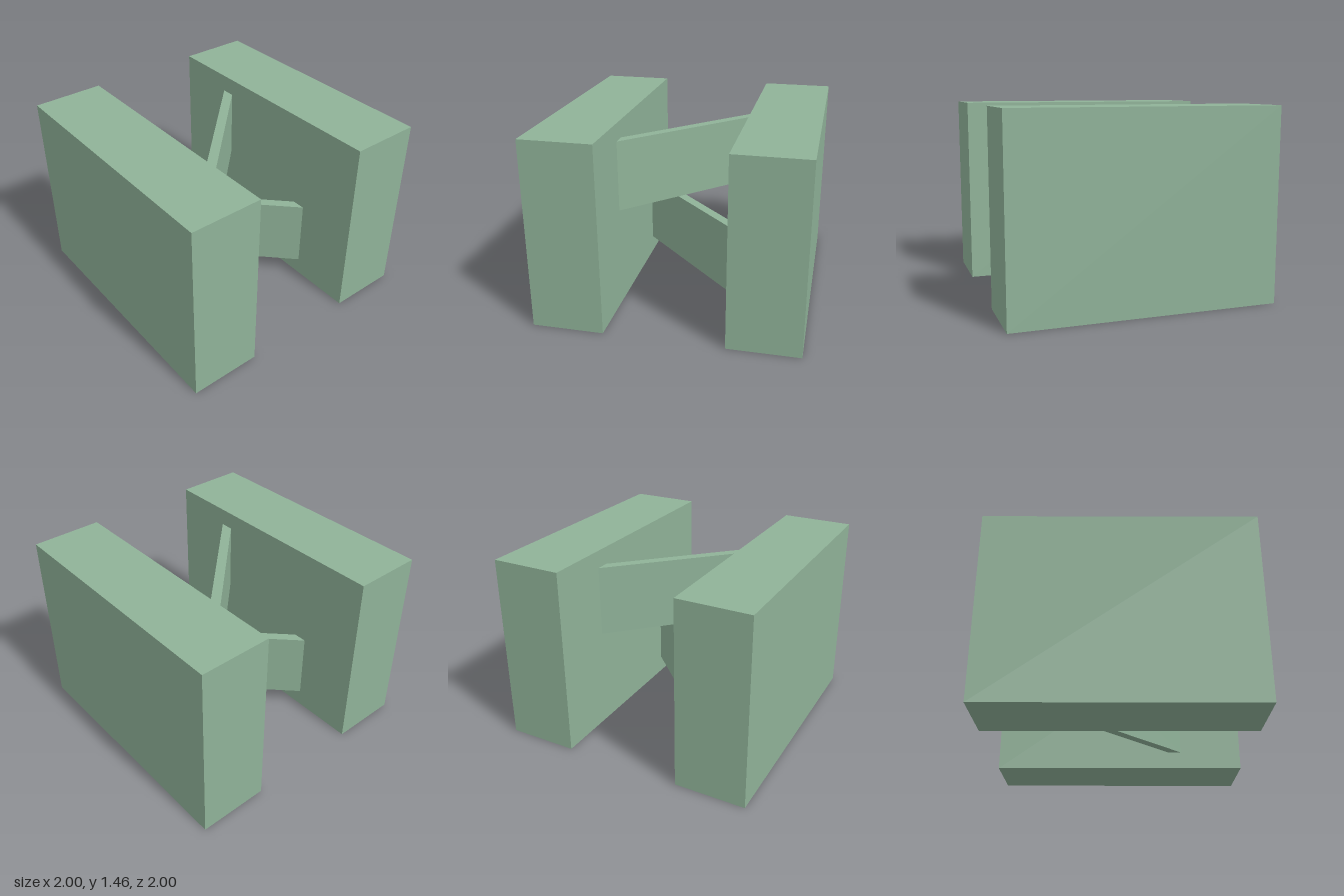
import * as THREE from 'three';

export function createModel() {
  const group = new THREE.Group();
  const material = new THREE.MeshStandardMaterial({ color: 0x8fb298 });
  const height = 1.455, inner = 0.455, depth = 1 - inner;

  // Two upright slabs facing each other
  for (const [name, side] of [['frontSlab', 1], ['backSlab', -1]]) {
    const slab = new THREE.Mesh(new THREE.BoxGeometry(2, height, depth), material);
    slab.name = name;
    slab.position.set(0, height / 2, side * (inner + depth / 2));
    group.add(slab);
  }

  // Diagonal braces, one above the other, with ends cut flush to the slabs
  const half = 0.052, braceHeight = 0.546;
  function addBrace(name, bottom, slant) {
    const e = slant * inner;
    const plan = new THREE.Shape([
      [-e - half, -inner], [-e + half, -inner], [e + half, inner], [e - half, inner],
    ].map(([x, y]) => new THREE.Vector2(x, y)));
    const geometry = new THREE.ExtrudeGeometry(plan, { depth: braceHeight, bevelEnabled: false });
    geometry.rotateX(-Math.PI / 2);
    const brace = new THREE.Mesh(geometry, material);
    brace.name = name;
    brace.position.y = bottom;
    group.add(brace);
  }
  addBrace('upperBrace', 0.775, -1);
  addBrace('lowerBrace', 0.137, 1);

  return group;
}
